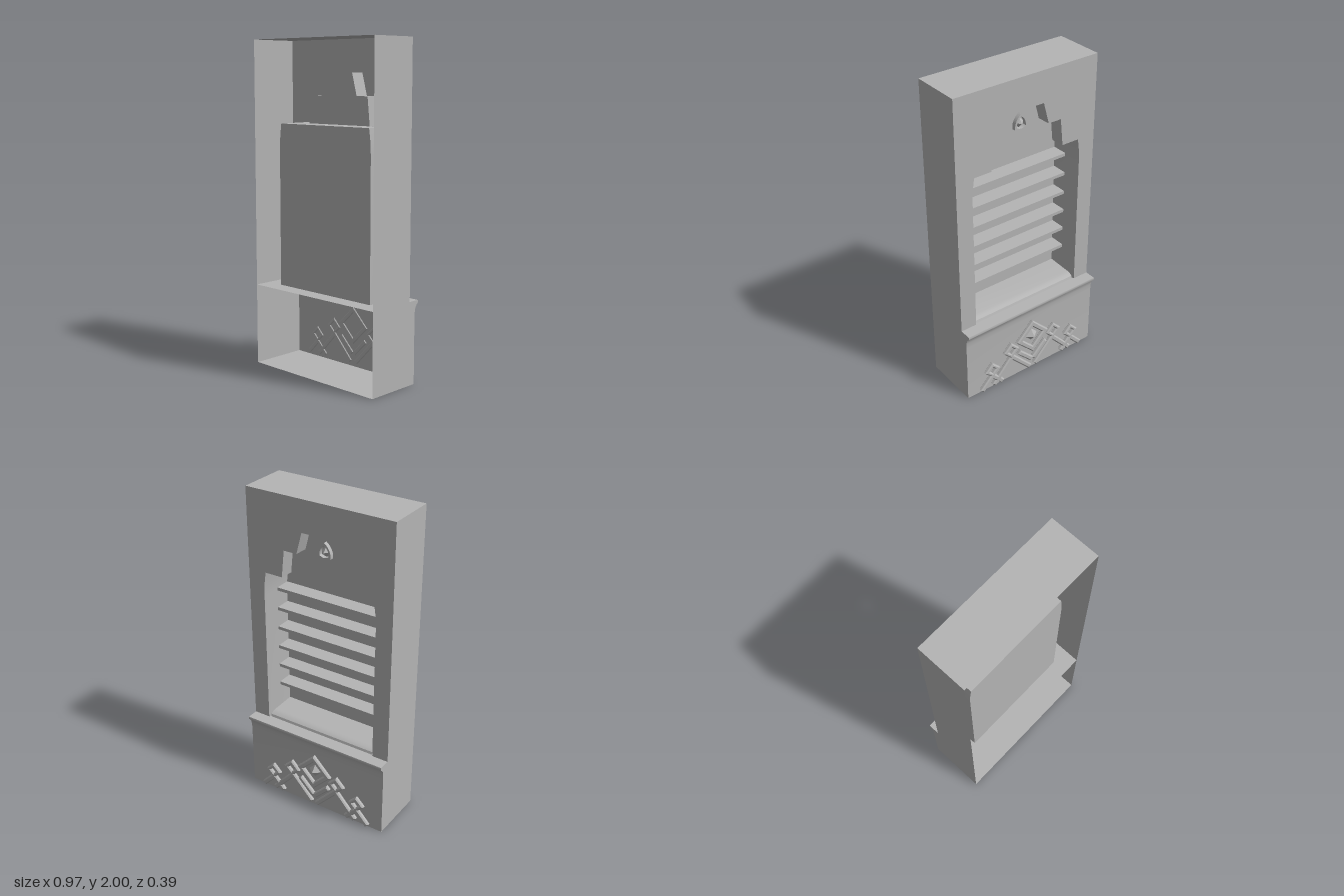
import * as THREE from 'three';
import { toCreasedNormals } from 'three/addons/utils/BufferGeometryUtils.js';

const W = 0.485, WALL = -0.115, BASE = -0.16, FRONT = 0.2;

// Sheet lofted through rows of [x, y, z] points
function loft(rows, crease = 0.6) {
  const n = rows[0].length, index = [];
  for (let r = 0; r < rows.length - 1; r++) {
    for (let i = 0; i < n - 1; i++) {
      const a = r * n + i, b = a + n;
      index.push(a, b, a + 1, b, b + 1, a + 1);
    }
  }
  const g = new THREE.BufferGeometry();
  g.setAttribute('position', new THREE.Float32BufferAttribute(rows.flat(2), 3));
  g.setIndex(index);
  return toCreasedNormals(g, crease);
}

const toShape = (pts) => new THREE.Shape(pts.map(([x, y]) => new THREE.Vector2(x, y)));
const mirrored = (half) => [...half, ...half.slice().reverse().map(([x, y]) => [-x, y])];

export function createModel() {
  const model = new THREE.Group();
  const stone = new THREE.MeshStandardMaterial({ color: 0xb4b4b4, side: THREE.DoubleSide });
  stone.name = 'grey stone';

  function add(name, geometry, x = 0, y = 0, z = 0, parent = model) {
    const mesh = new THREE.Mesh(geometry, stone);
    mesh.name = name;
    mesh.position.set(x, y, z);
    parent.add(mesh);
    return mesh;
  }

  // Moulding profile as [z, y], from the plinth up to the ledge
  const moulding = [[BASE, 0], [BASE, 0.4], [-0.162, 0.435], [-0.168, 0.46], [-0.178, 0.475],
    [-0.187, 0.481], [-0.19, 0.49], [-0.188, 0.5], [WALL, 0.5]];
  const acrossX = (profile) => loft([-W, W].map((x) => profile.map(([z, y]) => [x, y, z])));
  add('plinthAndMoulding', acrossX(moulding));
  add('floor', acrossX([[FRONT, 0], [BASE, 0]]));
  add('shelf', acrossX([[WALL, 0.5], [FRONT, 0.5]]));
  add('roof', acrossX([[WALL, 2], [FRONT, 2]]));

  // Side walls
  for (const s of [-1, 1]) {
    const side = new THREE.ShapeGeometry(toShape([[FRONT, 0], ...moulding, [WALL, 2], [FRONT, 2]]));
    side.rotateY(-Math.PI / 2);
    add(s > 0 ? 'leftWall' : 'rightWall', side, s * W);
  }

  // Niche outlines, right half from bottom to top
  const lowerHalf = [[0.38, 0.5], [0.38, 1.35], [0.376, 1.43], [0.366, 1.5]];
  const upperHalf = [[0.25, 1.5], [0.232, 1.67], [0.145, 1.67], [0.108, 1.805]];
  const lower = mirrored(lowerHalf);
  const upper = mirrored(upperHalf);

  // Rear wall with the stepped opening
  const wall = toShape([[-W, 0.5], [-0.38, 0.5], ...lowerHalf.slice(1).map(([x, y]) => [-x, y]),
    ...upperHalf.map(([x, y]) => [-x, y]), ...upperHalf.slice().reverse(),
    ...lowerHalf.slice().reverse(), [W, 0.5], [W, 2], [-W, 2]]);
  const wallGeometry = new THREE.ShapeGeometry(wall);
  wallGeometry.rotateY(Math.PI);
  add('rearWall', wallGeometry, 0, 0, WALL);

  // Deep lower niche
  const atZ = (pts, z, k = 1) => pts.map(([x, y]) => [x * k, y, z]);
  for (const s of [-1, 1]) {
    const half = lowerHalf.map(([x, y]) => [s * x, y]);
    add('nicheSide', loft([atZ(half, WALL), atZ(half, -0.09, 0.985), atZ(half, 0.1, 0.98)]));
    // Ceiling beside the stepped recess
    add('nicheShoulder', loft([[[s * 0.25, 1.5, WALL], [s * 0.366, 1.5, WALL]],
      [[s * 0.25, 1.5, -0.03], [s * 0.36, 1.5, -0.03]]]));
  }
  add('nicheCeiling', loft([[[-0.36, 1.5, -0.03], [0.36, 1.5, -0.03]],
    [[-0.359, 1.5, 0.1], [0.359, 1.5, 0.1]]]));
  add('nichePanel', new THREE.ShapeGeometry(toShape(lower.map(([x, y]) => [x * 0.98, y]))), 0, 0, 0.1);

  // Shallow stepped recess
  add('steppedRecessSides', loft([atZ(upper, WALL), atZ(upper, -0.03, 0.98)], 0.2));
  add('steppedRecessPanel', new THREE.ShapeGeometry(toShape(upper.map(([x, y]) => [x * 0.98, y]))), 0, 0, -0.03);

  // Rounded sill
  const sill = [[0.1, 0.535], [-0.06, 0.53], [-0.085, 0.525], [-0.1, 0.515], [-0.105, 0.5]];
  add('sill', loft([-0.372, 0.372].map((x) => sill.map(([z, y]) => [x, y, z]))));

  // Louvre slats
  for (let i = 0; i < 6; i++) {
    add('slat', new THREE.BoxGeometry(0.744, 0.02, 0.1), 0, 1.348 - i * 0.131, 0.05);
  }

  // Shield medallion with a raised rim and a faceted boss
  const shield = (k) => {
    const s = new THREE.Shape();
    s.moveTo(0, 0.055 * k);
    s.quadraticCurveTo(0.048 * k, 0.02 * k, 0.044 * k, -0.035 * k);
    s.quadraticCurveTo(0, -0.065 * k, -0.044 * k, -0.035 * k);
    s.quadraticCurveTo(-0.048 * k, 0.02 * k, 0, 0.055 * k);
    return s;
  };
  const rim = shield(1);
  rim.holes.push(shield(0.7));
  add('medallionRim', new THREE.ExtrudeGeometry(rim, { depth: 0.025, bevelEnabled: false }), 0, 1.695, -0.055);
  const boss = new THREE.ConeGeometry(0.032, 0.03, 4).toNonIndexed();
  boss.rotateX(-Math.PI / 2);
  boss.computeVertexNormals();
  add('medallionBoss', boss, 0, 1.69, -0.045);

  // Relief of diamonds and slanted bars on the plinth
  const relief = new THREE.Group();
  relief.name = 'plinthRelief';
  model.add(relief);
  const bevel = { depth: 0.014, bevelThickness: 0.008, bevelSize: 0.007, bevelOffset: -0.007, bevelSegments: 1 };
  const diamond = (r) => [[0, r], [-r, 0], [0, -r], [r, 0]];
  function ring(x, y, r, width) {
    const s = toShape(diamond(r));
    s.holes.push(toShape(diamond(r - width)));
    add('diamondFrame', new THREE.ExtrudeGeometry(s, bevel), x, y, -0.177, relief);
  }
  function bar(x1, y1, x2, y2, w = 0.032) {
    const l = Math.hypot(x2 - x1, y2 - y1) / 2, h = w / 2;
    const s = toShape([[-l, -h], [l, -h], [l, h], [-l, h]]);
    const m = add('slantedBar', new THREE.ExtrudeGeometry(s, bevel), (x1 + x2) / 2, (y1 + y2) / 2, -0.177, relief);
    m.rotation.z = Math.atan2(y2 - y1, x2 - x1);
  }
  ring(0, 0.26, 0.122, 0.046);
  const stud = new THREE.ConeGeometry(0.045, 0.035, 4).toNonIndexed();
  stud.rotateX(-Math.PI / 2);
  stud.computeVertexNormals();
  add('centreStud', stud, 0, 0.265, -0.1775, relief);
  for (const s of [-1, 1]) {
    ring(s * 0.165, 0.225, 0.058, 0.032);
    ring(s * 0.31, 0.145, 0.055, 0.032);
    bar(s * 0.15, 0.185, s * 0.3, 0.02);
    bar(s * 0.165, 0.18, s * 0.02, 0.025);
    bar(s * 0.3, 0.11, s * 0.39, 0.015);
    bar(s * 0.31, 0.1, s * 0.235, 0.02);
    bar(s * 0.105, 0.18, s * 0.005, 0.08);
  }
  return model;
}
